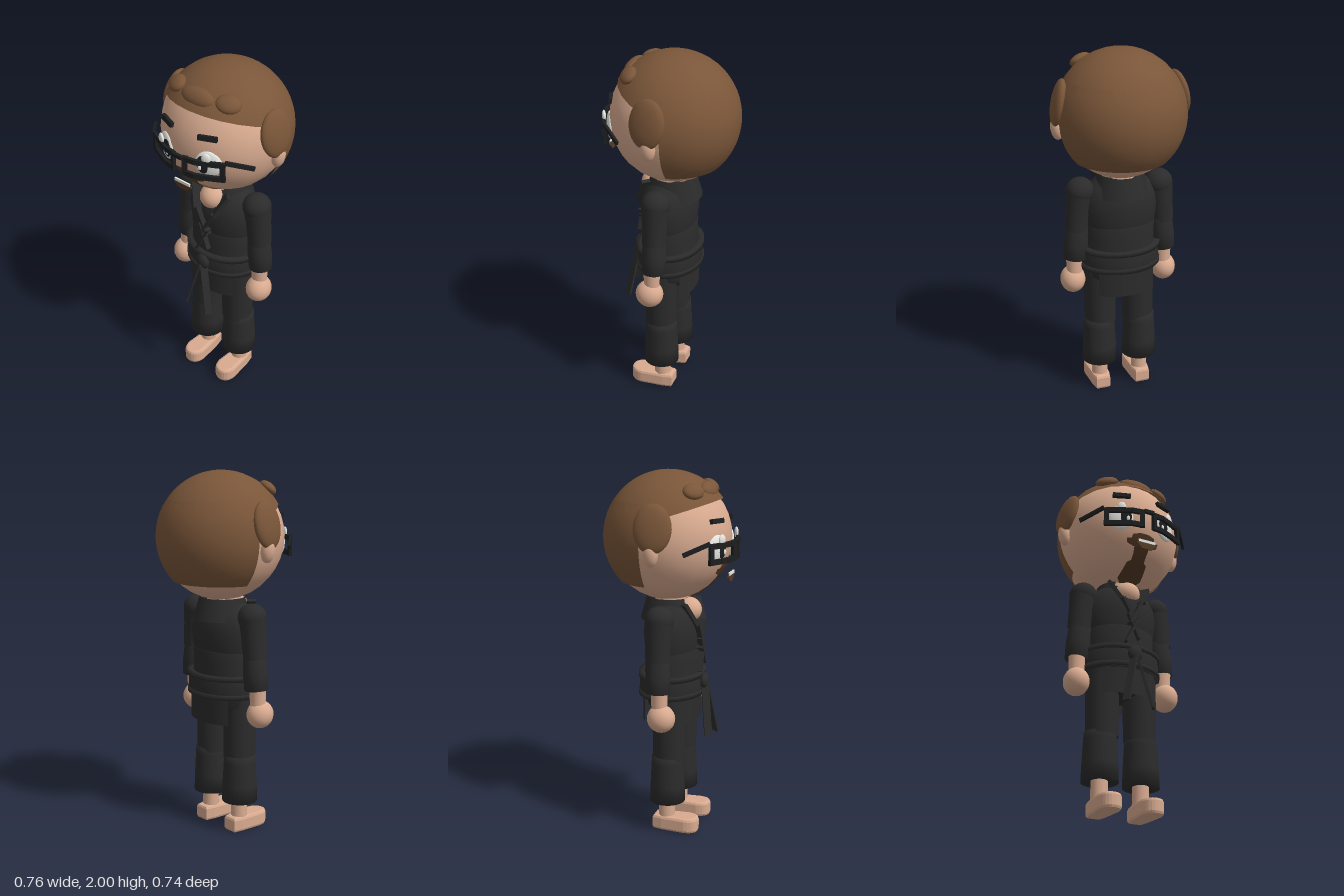
import * as THREE from 'three';

const mat = (name, color, side = THREE.FrontSide) => {
  const m = new THREE.MeshStandardMaterial({ color });
  m.name = name;
  m.side = side;
  return m;
};

export function createModel() {
  const skin = mat('skin', 0xd9ab90);
  const hair = mat('hair brown', 0x7a5639, THREE.DoubleSide);
  const beard = mat('beard brown', 0x553a25, THREE.DoubleSide);
  const cloth = mat('black cloth', 0x2b2b2c, THREE.DoubleSide);
  const black = mat('glossy black', 0x1d1e1f);
  const white = mat('white', 0xe9e9e4);

  const model = new THREE.Group();
  model.name = 'figure';
  const V = (x, y, z) => new THREE.Vector3(x, y, z);

  const add = (name, geo, material, p = [0, 0, 0], r = [0, 0, 0], s = [1, 1, 1]) => {
    const m = new THREE.Mesh(geo, material);
    m.name = name;
    m.position.set(...p);
    m.rotation.set(...r);
    m.scale.set(...s);
    model.add(m);
    return m;
  };
  const ball = (name, material, p, radii, r = [0, 0, 0]) =>
    add(name, new THREE.SphereGeometry(1, 20, 14), material, p, r, radii);
  // Box running from a to b, w wide and t thick
  const beam = (name, material, a, b, w, t) => {
    const from = V(...a), to = V(...b);
    const m = add(name, new THREE.BoxGeometry(w, t, from.distanceTo(to)), material);
    m.position.copy(from).lerp(to, 0.5);
    m.lookAt(to);
    return m;
  };
  // Lathe from [radius, y] pairs, flattened in depth
  const turned = (name, material, pts, p = [0, 0, 0], depth = 1, r = [0, 0, 0]) =>
    add(name, new THREE.LatheGeometry(pts.map(q => new THREE.Vector2(...q)), 24), material, p, r, [1, 1, depth]);
  // Smooth surface from fn(u, v): u runs right, v runs down
  const patch = (nu, nv, fn) => {
    const pos = [], idx = [];
    for (let j = 0; j <= nv; j++) for (let i = 0; i <= nu; i++) {
      pos.push(...fn(i / nu, j / nv));
      if (i < nu && j < nv) {
        const a = j * (nu + 1) + i, c = a + nu + 1;
        idx.push(a, c, a + 1, a + 1, c, c + 1);
      }
    }
    const g = new THREE.BufferGeometry();
    g.setAttribute('position', new THREE.Float32BufferAttribute(pos, 3));
    g.setIndex(idx);
    g.computeVertexNormals();
    return g;
  };

  // Head and hair shell
  const CY = 1.647, CZ = -0.02, R = 0.353;
  add('head', new THREE.SphereGeometry(0.34, 24, 18), skin, [0, CY, CZ]);
  add('hairCap', new THREE.SphereGeometry(R, 24, 14, 0, Math.PI * 2, 0, 1.26), hair, [0, CY, CZ], [-0.31, 0, 0]);
  add('hairBack', patch(20, 12, (u, v) => {
    const dy = 0.2 - v * 0.437, r = Math.sqrt(R * R - dy * dy);
    const edge = Math.asin(0.05 / r);
    const a = edge + u * (Math.PI - 2 * edge);
    return [r * Math.cos(a), CY + dy, CZ - r * Math.sin(a)];
  }), hair);
  ball('frontTuft', hair, [0, 1.9, 0.2], [0.1, 0.035, 0.05], [0.85, 0, 0]);

  // Moustache and goatee lie on the face; rows are [y, half width]
  const onFace = (name, rows) => add(name, patch(8, rows.length - 1, (u, v) => {
    const [y, w] = rows[Math.round(v * (rows.length - 1))];
    const x = (u * 2 - 1) * w;
    return [x, y, CZ + Math.sqrt(0.346 ** 2 - x * x - (y - CY) ** 2)];
  }), beard);
  onFace('moustache', [[1.53, 0.025], [1.52, 0.065], [1.5, 0.07], [1.498, 0.095], [1.475, 0.09], [1.46, 0.05]]);
  onFace('goatee', [[1.46, 0.045], [1.43, 0.04], [1.4, 0.04], [1.39, 0.06], [1.36, 0.065], [1.335, 0.07], [1.32, 0.045]]);

  // Mouth plate
  add('teeth', new THREE.BoxGeometry(0.1, 0.016, 0.009), white, [0, 1.466, 0.329]);
  const lip = new THREE.Shape([[-0.06, 0.03], [-0.03, 0], [0.03, 0], [0.06, 0.03], [0.05, 0.045], [-0.05, 0.045]]
    .map(q => new THREE.Vector2(...q)));
  add('lowerLip', new THREE.ExtrudeGeometry(lip, { depth: 0.006, bevelEnabled: false }), beard, [0, 1.422, 0.323]);

  // Neck, open chest and jacket body
  add('neck', new THREE.CylinderGeometry(0.09, 0.1, 0.16, 20), skin, [0, 1.28, 0]);
  ball('openChest', skin, [0, 1.25, 0.09], [0.072, 0.07, 0.075]);
  turned('jacketChest', cloth, [[0.19, 1.02], [0.2, 1.05], [0.21, 1.13], [0.2, 1.2], [0.17, 1.26], [0.11, 1.31]], [0, 0, 0], 0.72);
  turned('jacketWaist', cloth, [[0.2, 0.84], [0.193, 0.95], [0.196, 1.03], [0.18, 1.045]], [0, 0, 0], 0.75);
  add('collar', new THREE.CylinderGeometry(0.125, 0.16, 0.12, 24, 1, true, 0.6, Math.PI * 2 - 1.2), cloth, [0, 1.262, -0.015]);
  turned('hips', cloth, [[0.001, 0.64], [0.13, 0.66], [0.19, 0.73], [0.2, 0.85]], [0, 0, 0], 0.68);

  // Belt with two raised rims
  turned('belt', cloth, [[0.2, 0.78], [0.22, 0.78], [0.22, 0.905], [0.19, 0.905]], [0, 0, 0], 0.8);
  for (const y of [0.795, 0.895]) {
    turned('beltRim', cloth, [[0.2, y - 0.013], [0.228, y - 0.013], [0.228, y + 0.013], [0.2, y + 0.013]], [0, 0, 0], 0.8);
  }
  ball('beltKnot', cloth, [0, 0.855, 0.185], [0.042, 0.045, 0.025]);

  // Jacket skirt flaps, front and back
  for (const turn of [0, Math.PI]) {
    add('skirtFlap', new THREE.CylinderGeometry(0.22, 0.22, 0.16, 12, 1, true, turn - 0.78, 1.56), cloth,
      [0, 0.715, 0], [0, 0, 0], [1, 1, 0.7]);
  }

  // Crossed chest ties
  beam('chestTie', cloth, [-0.03, 1.1, 0.165], [0.03, 0.95, 0.172], 0.03, 0.012);
  beam('chestTie', cloth, [0.03, 1.08, 0.165], [-0.05, 0.92, 0.172], 0.03, 0.012);

  // Eyeglass rim follows a curve around the face
  const rim = [[0.025, 0.352], [0.095, 0.342], [0.165, 0.31], [0.235, 0.272]];
  beam('glassesBridge', black, [-0.03, 1.64, 0.36], [0.03, 1.64, 0.36], 0.018, 0.02);

  // Mirrored parts
  for (const s of [1, -1]) {
    // Hair tufts, ears and brows
    ball('sideHair', hair, [s * 0.333, 1.73, 0], [0.038, 0.128, 0.1], [0, s * -0.15, s * 0.2]);
    ball('foreheadTuft', hair, [s * 0.165, 1.905, 0.165], [0.065, 0.03, 0.05], [0.7, s * 0.3, s * -0.4]);
    ball('ear', skin, [s * 0.345, 1.6, -0.008], [0.035, 0.066, 0.04], [0, 0, s * -0.1]);
    add('eyebrow', new THREE.BoxGeometry(0.1, 0.026, 0.02), black, [s * 0.13, 1.755, 0.282], [-0.2, s * 0.35, s * 0.1]);

    // Eyes
    const tilt = [0, s * 0.45, 0];
    ball('eyeWhite', white, [s * 0.137, 1.61, 0.283], [0.07, 0.075, 0.022], tilt);
    ball('pupil', black, [s * 0.125, 1.61, 0.298], [0.045, 0.056, 0.015], tilt);
    ball('eyeHighlight', white, [s * 0.147, 1.66, 0.315], [0.024, 0.03, 0.011], tilt);
    ball('smallHighlight', white, [s * 0.108, 1.595, 0.319], [0.01, 0.015, 0.006], tilt);

    // Eyeglass frame and temple
    for (const y of [1.553, 1.635]) for (let i = 0; i < 3; i++) {
      const [x1, z1] = rim[i], [x2, z2] = rim[i + 1];
      beam('glassesRim', black, [s * x1, y, z1], [s * x2, y, z2], 0.016, 0.028);
    }
    for (const [x, z] of [[0.037, 0.35], [0.222, 0.279]]) {
      add('glassesSide', new THREE.BoxGeometry(0.026, 0.108, 0.018), black, [s * x, 1.594, z], tilt);
    }
    beam('glassesTemple', black, [s * 0.235, 1.652, 0.275], [s * 0.33, 1.602, 0.162], 0.014, 0.022);

    // Lapels and belt tails
    beam('lapel', cloth, [s * 0.11, 1.3, 0.1], [s * 0.055, 1.18, 0.152], 0.05, 0.02);
    beam('lapel', cloth, [s * 0.055, 1.19, 0.15], [s * -0.02, 1.04, 0.158], 0.045, 0.016);
    beam('beltTail', cloth, [s * 0.008, 0.85, 0.19], [s * 0.078, s > 0 ? 0.54 : 0.56, 0.232], 0.042, 0.012);

    // Arm
    ball('shoulder', cloth, [s * 0.225, 1.233, 0], [0.078, 0.075, 0.078]);
    turned('upperSleeve', cloth, [[0.064, -0.22], [0.068, -0.1], [0.075, 0]], [s * 0.228, 1.23, 0], 1, [0, 0, s * 0.1]);
    turned('lowerSleeve', cloth, [[0.04, -0.155], [0.064, -0.165], [0.067, -0.08], [0.06, 0.04], [0.04, 0.055]],
      [s * 0.245, 1.005, 0], 1, [0, 0, s * 0.09]);
    turned('wrist', skin, [[0.042, 0.74], [0.045, 0.85]], [s * 0.262, 0, 0.01]);
    ball('hand', skin, [s * 0.268, 0.703, 0.022], [0.07, 0.077, 0.077]);

    // Leg
    turned('trouserThigh', cloth, [[0.088, 0.42], [0.09, 0.6], [0.09, 0.82]], [s * 0.112, 0, 0.015]);
    turned('trouserCalf', cloth, [[0.04, 0.185], [0.099, 0.175], [0.096, 0.27], [0.089, 0.4], [0.086, 0.44], [0.06, 0.45]],
      [s * 0.12, 0, 0.01]);
    turned('ankle', skin, [[0.046, 0.06], [0.044, 0.22]], [s * 0.12, 0, 0.005]);

    // Foot: rounded outline with bevelled edges, narrower at the heel
    const sole = new THREE.Shape();
    sole.moveTo(-0.028, -0.05);
    sole.lineTo(0.028, -0.05);
    sole.lineTo(0.036, -0.01);
    sole.lineTo(0.045, 0.12);
    sole.quadraticCurveTo(0.04, 0.175, 0, 0.175);
    sole.quadraticCurveTo(-0.04, 0.175, -0.045, 0.12);
    sole.lineTo(-0.036, -0.01);
    const foot = new THREE.ExtrudeGeometry(sole, {
      depth: 0.055, bevelSize: 0.016, bevelThickness: 0.016, bevelSegments: 2, curveSegments: 6,
    });
    foot.rotateX(Math.PI / 2);
    add('foot', foot, skin, [s * 0.12, 0.071, 0]);
  }
  return model;
}
